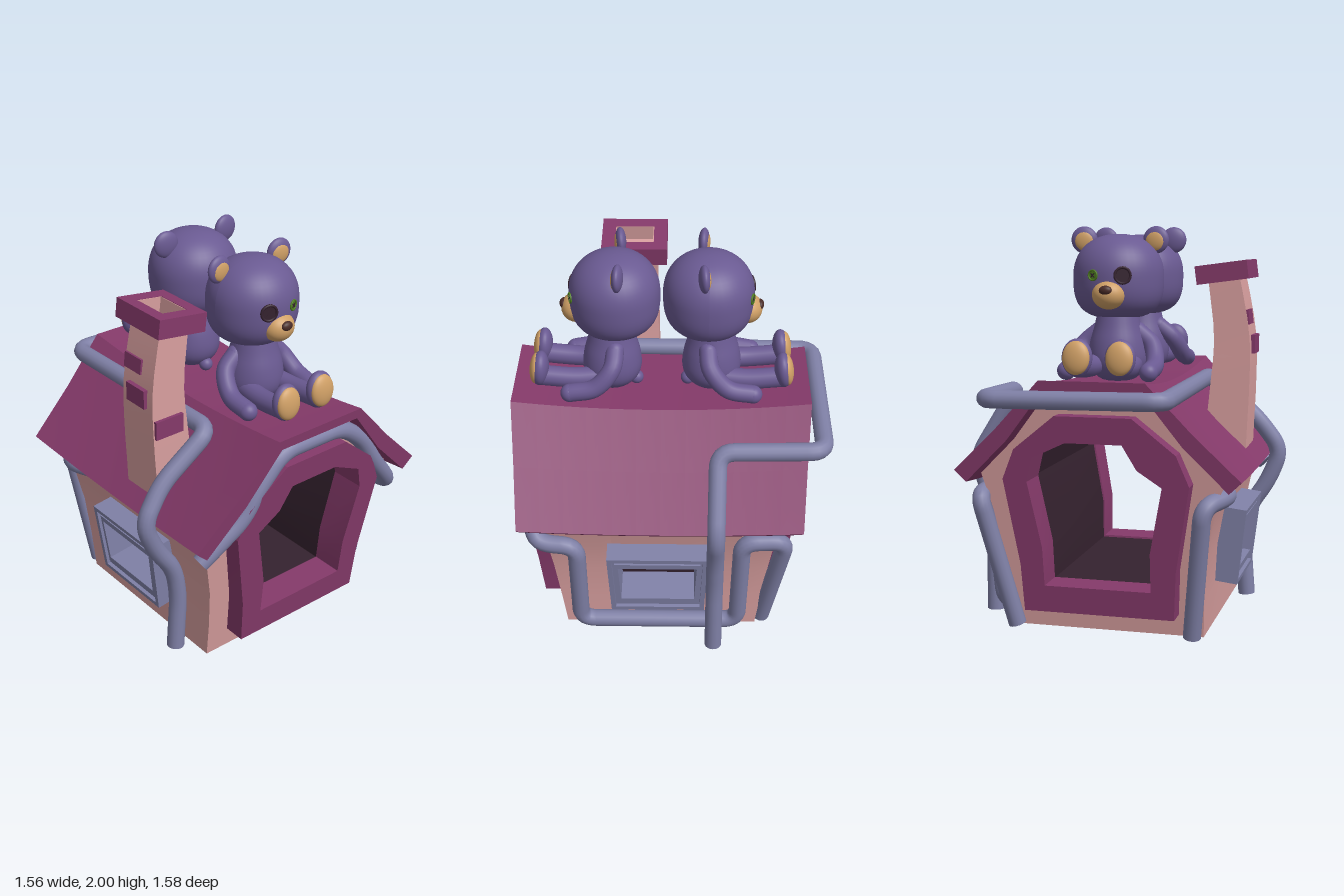
import * as THREE from 'three';
import { toCreasedNormals } from 'three/addons/utils/BufferGeometryUtils.js';

const mat = (color) => new THREE.MeshStandardMaterial({ color });
const plum = mat(0x853a6a), pink = mat(0xd79e9e), steel = mat(0x7f80a6), fur = mat(0x6a5a92);
const tan = mat(0xd0a066), dark = mat(0x35222f), green = mat(0x4f7f1f), brown = mat(0x4a2c28);
const MID = 0.05; // z of the house centre
const V = (a) => new THREE.Vector3(...a);

function add(parent, name, geo, material, pos = [0, 0, 0], rot = [0, 0, 0]) {
  const m = new THREE.Mesh(geo, material);
  m.name = name;
  m.position.set(...pos);
  m.rotation.set(...rot);
  parent.add(m);
  return m;
}

function warp(geo, rule, crease = 0.4) {
  const p = geo.attributes.position, v = new THREE.Vector3();
  for (let i = 0; i < p.count; i++) {
    rule(v.fromBufferAttribute(p, i));
    p.setXYZ(i, v.x, v.y, v.z);
  }
  geo.computeVertexNormals();
  return crease ? toCreasedNormals(geo, crease) : geo;
}

function polygon(points, hole) {
  const s = new THREE.Shape(points.map((p) => new THREE.Vector2(...p)));
  if (hole) s.holes.push(new THREE.Path(hole.map((p) => new THREE.Vector2(...p))));
  return s;
}
const mirrored = (half) => [...half, ...half.map(([x, y]) => [-x, y]).reverse()];

// Prism along z from t0 to t1 (-1 back, 1 front) whose depth grows with height and whose middle sags
function houseSlab(shape, depthAt, sag, steps, t0 = -1, t1 = 1) {
  const geo = new THREE.ExtrudeGeometry(shape, { depth: t1 - t0, steps, bevelEnabled: false });
  return warp(geo, (v) => {
    const t = v.z + t0, dip = (1 - t * t) * sag * v.y / 1.27;
    v.z = MID + t * depthAt(v.y);
    v.x *= 1 - dip * 0.7;
    v.y -= dip;
  });
}

// Pipe with straight runs, rounded corners and flat ends
function pipe(parent, name, pts, bend = 0.08, r = 0.045) {
  const P = pts.map(V), path = new THREE.CurvePath();
  let from = P[0];
  for (let i = 1; i < P.length - 1; i++) {
    const toward = (q) => P[i].clone().lerp(q, Math.min(0.45, bend / P[i].distanceTo(q)));
    const a = toward(P[i - 1]), b = toward(P[i + 1]);
    path.add(new THREE.LineCurve3(from, a));
    path.add(new THREE.QuadraticBezierCurve3(a, P[i], b));
    from = b;
  }
  path.add(new THREE.LineCurve3(from, P[P.length - 1]));
  add(parent, name, new THREE.TubeGeometry(path, 220, r, 14), steel);
  for (const [u, s] of [[0, -1], [1, 1]]) {
    const end = path.getPointAt(u), cap = add(parent, name + 'End', new THREE.CircleGeometry(r, 14), steel, end.toArray());
    cap.lookAt(end.clone().addScaledVector(path.getTangentAt(u), s));
  }
}

function ball(parent, name, material, pos, size, rot) {
  const m = add(parent, name, new THREE.SphereGeometry(1, 28, 20), material, pos, rot);
  m.scale.set(...size);
  return m;
}

function limb(parent, name, pts, r) {
  add(parent, name, new THREE.TubeGeometry(new THREE.CatmullRomCurve3(pts.map(V)), 20, r, 16), fur);
  for (const p of [pts[0], pts[pts.length - 1]]) ball(parent, name + 'Tip', fur, p, [r, r, r]);
}

// Seated bear facing +z; buttonSide is the x sign of the dark button eye
function bear(buttonSide) {
  const g = new THREE.Group();
  const head = warp(new THREE.SphereGeometry(1, 40, 30), (v) => {
    const r = Math.hypot(v.x, v.z), p = v.y < 0 ? 3 : 2.2;
    v.divideScalar((r ** p + Math.abs(v.y) ** p) ** (1 / p));
    v.set(v.x * 0.228, v.y * 0.21, v.z * 0.224);
  }, 0);
  add(g, 'head', head, fur, [0, 1.748, 0.23]);
  const torso = [[0.001, 1.225], [0.08, 1.235], [0.13, 1.28], [0.148, 1.34], [0.14, 1.42], [0.118, 1.5], [0.1, 1.58]];
  const spine = new THREE.SplineCurve(torso.map((p) => new THREE.Vector2(...p))).getPoints(24);
  add(g, 'torso', new THREE.LatheGeometry(spine, 32), fur, [0, 0, 0.25]);
  ball(g, 'tail', fur, [0, 1.25, 0.13], [0.035, 0.035, 0.035]);
  ball(g, 'muzzle', tan, [0, 1.663, 0.42], [0.083, 0.072, 0.075]);
  ball(g, 'nose', brown, [0, 1.685, 0.482], [0.033, 0.024, 0.02]);
  for (const s of [-1, 1]) {
    ball(g, 'ear', fur, [s * 0.185, 1.928, 0.205], [0.067, 0.068, 0.028], [0, -s * 0.1, -s * 0.5]);
    ball(g, 'innerEar', tan, [s * 0.183, 1.924, 0.218], [0.05, 0.051, 0.018], [0, -s * 0.1, -s * 0.5]);
    limb(g, 'arm', [[s * 0.1, 1.475, 0.23], [s * 0.175, 1.41, 0.245], [s * 0.21, 1.32, 0.33], [s * 0.208, 1.29, 0.455]], 0.046);
    limb(g, 'leg', [[s * 0.08, 1.32, 0.24], [s * 0.1, 1.31, 0.42], [s * 0.103, 1.325, 0.6]], 0.052);
    ball(g, 'foot', fur, [s * 0.107, 1.37, 0.607], [0.076, 0.092, 0.045], [-0.1, 0, 0]);
    ball(g, 'sole', tan, [s * 0.107, 1.37, 0.627], [0.068, 0.082, 0.032], [-0.1, 0, 0]);
    // Mismatched button eyes
    const button = s === buttonSide, r = button ? 0.044 : 0.028;
    const eye = new THREE.Group();
    eye.name = button ? 'buttonEye' : 'greenEye';
    eye.position.set(s * 0.072, 1.757, 0.433);
    eye.rotation.y = s * 0.33;
    add(eye, 'eyeDisc', new THREE.CylinderGeometry(r, r, 0.02, 20), button ? dark : green, [0, 0, 0], [Math.PI / 2, 0, 0]);
    add(eye, 'eyeRim', new THREE.TorusGeometry(r * 0.87, r * 0.15, 8, 20), button ? dark : green, [0, 0, 0.01]);
    for (const a of [-1, 1])
      add(eye, 'stitch', new THREE.BoxGeometry(r, 0.005, 0.005), dark, [0, 0, 0.011], [0, 0, a * Math.PI / 4]);
    g.add(eye);
  }
  return g;
}

// Stepped window frame, wider at the top, local +z pointing out of the wall
function sideWindow(side) {
  const g = new THREE.Group();
  const quad = (w, h) => [[-w * 0.47, -h / 2], [w * 0.47, -h / 2], [w / 2, h / 2], [-w / 2, h / 2]];
  const rings = [[0.51, 0.39, 0.1], [0.46, 0.345, 0.08], [0.435, 0.295, 0.09], [0.4, 0.235, 0]];
  for (let i = 0; i < 3; i++) {
    const [w, h, d] = rings[i], [iw, ih] = rings[i + 1];
    const geo = new THREE.ExtrudeGeometry(polygon(quad(w, h), quad(iw, ih)), { depth: d + 0.12, bevelEnabled: false });
    add(g, 'windowFrame', geo, steel, [0, 0, -0.12]);
  }
  add(g, 'windowPane', new THREE.ShapeGeometry(polygon(quad(0.42, 0.25))), dark, [0, 0, -0.09]);
  g.rotation.set(0.12, side * Math.PI / 2, 0, 'YXZ');
  g.position.set(side * 0.54, 0.405, 0.065);
  return g;
}

export function createModel() {
  const model = new THREE.Group();
  model.name = 'bearHouse';

  // Walls, notched in the middle for the windows
  const door = [[-0.265, 0.245], [0.27, 0.245], [0.275, 0.44], [0.34, 0.77], [0.31, 0.89], [0.14, 0.97],
    [-0.14, 0.97], [-0.21, 0.85], [-0.33, 0.77], [-0.265, 0.44]];
  const grown = (k) => door.map(([x, y]) => [x * k, 0.6 + (y - 0.6) * k]);
  const low = [[0.5, 0], [0.505, 0.2]], high = [[0.555, 0.6], [0.61, 0.79], [0.24, 1.215]];
  const solid = mirrored([...low, [0.52, 0.42], ...high]);
  const notched = mirrored([...low, [0.508, 0.26], [0.4, 0.26], [0.4, 0.55], [0.544, 0.55], ...high]);
  for (const [section, t0, t1] of [[solid, -1, -0.38], [notched, -0.38, 0.43], [solid, 0.43, 1]])
    add(model, 'walls', houseSlab(polygon(section, grown(1.16)), (y) => 0.5 + 0.125 * y, 0.05, 5, t0, t1), pink);

  // Dark interior, a door frame at each end, and the roof
  const frameDepth = (y) => 0.615 + 0.1 * y;
  add(model, 'interior', houseSlab(polygon(grown(1.18), grown(1.03)), frameDepth, 0, 1, -0.76, 0.76), dark);
  const frame = mirrored([[0.378, 0.11], [0.39, 0.35], [0.462, 0.78], [0.4, 0.93], [0.19, 1.1]]);
  add(model, 'frontDoorFrame', houseSlab(polygon(frame, door), frameDepth, 0, 1, 0.74, 1), plum);
  add(model, 'backDoorFrame', houseSlab(polygon(frame, door), frameDepth, 0, 1, -1, -0.74), plum);
  const roof = mirrored([[0.65, 0.757], [0.71, 0.815], [0.48, 1.035], [0.26, 1.27]]);
  const under = mirrored([[0.24, 1.22], [0.43, 0.975]]);
  const section = [...roof, ...under.slice(2), ...under.slice(0, 2)];
  add(model, 'roof', houseSlab(polygon(section), (y) => 0.7 + 0.095 * (y - 0.8), 0.05, 12), plum);

  for (const s of [-1, 1]) {
    const w = sideWindow(s);
    w.name = s > 0 ? 'leftWindow' : 'rightWindow';
    model.add(w);
  }

  // Pipes
  pipe(model, 'roofPipe', [[-0.578, 0, 0.39], [-0.555, 0.3, 0.39], [-0.58, 0.48, 0.39], [-0.69, 0.64, 0.39],
    [-0.755, 0.81, 0.39], [-0.63, 0.98, 0.37], [-0.36, 1.2, 0.4], [-0.36, 1.19, -0.745], [0.525, 1.18, -0.745],
    [0.525, 1.17, -0.23], [0.75, 0.81, -0.225], [0.69, 0.62, -0.225], [0.66, 0.4, -0.225], [0.66, 0, -0.225]]);
  pipe(model, 'doorPipe', [[-0.63, 0.69, 0.67], [-0.41, 0.87, 0.715], [-0.33, 1.0, 0.72], [-0.18, 1.16, 0.725],
    [0.19, 1.16, 0.725], [0.34, 1.05, 0.72], [0.46, 0.86, 0.715], [0.58, 0.72, 0.69], [0.62, 0.66, 0.655],
    [0.63, 0.65, 0.47], [0.565, 0.085, 0.47], [0.565, 0.085, -0.35], [0.625, 0.68, -0.36], [0.61, 0.68, -0.58], [0.45, 0.01, -0.485]]);
  pipe(model, 'cornerPipe', [[-0.45, 0.01, -0.495], [-0.52, 0.68, -0.61], [-0.62, 0.71, -0.45], [-0.57, 0.71, -0.33]]);

  // Crooked chimney
  const chimney = new THREE.Group();
  chimney.name = 'chimney';
  const bow = new THREE.SplineCurve([[-0.5, 0.85], [-0.525, 1.2], [-0.53, 1.45], [-0.487, 1.73]].map((p) => new THREE.Vector2(...p)));
  const shaft = warp(new THREE.BoxGeometry(1, 1, 1, 1, 8, 1).toNonIndexed(), (v) => {
    const t = v.y + 0.5, c = bow.getPoint(t);
    v.set(c.x + v.x * (0.225 - 0.065 * t), c.y - v.x * 0.03 * t, 0.195 + v.z * (0.25 - 0.03 * t));
  }, 0.3);
  add(chimney, 'chimneyShaft', shaft, pink);
  const rect = (w, h) => [[-w, -h], [w, -h], [w, h], [-w, h]];
  const collar = (name, outer, inner, depth, material) => {
    const geo = new THREE.ExtrudeGeometry(polygon(outer, inner), { depth, bevelEnabled: false });
    geo.translate(0, 0, -depth / 2).rotateX(-Math.PI / 2);
    add(chimney, name, geo, material, [-0.483, 1.765, 0.198], [0, 0, -0.13]);
  };
  collar('chimneyCap', rect(0.135, 0.168), rect(0.07, 0.099), 0.095, plum);
  collar('chimneyFlue', rect(0.072, 0.101), rect(0.066, 0.095), 0.09, pink);
  add(chimney, 'brick', new THREE.BoxGeometry(0.16, 0.095, 0.06), plum, [-0.54, 1.245, 0.3]);
  add(chimney, 'brick', new THREE.BoxGeometry(0.05, 0.095, 0.14), plum, [-0.62, 1.395, 0.2]);
  add(chimney, 'brick', new THREE.BoxGeometry(0.05, 0.075, 0.13), plum, [-0.594, 1.535, 0.15], [0, 0, -0.12]);
  model.add(chimney);

  // Two bears sitting back to back on the ridge
  for (const s of [1, -1]) {
    const b = bear(-s);
    b.name = s > 0 ? 'frontBear' : 'backBear';
    b.position.z = MID;
    b.rotation.y = s > 0 ? 0 : Math.PI;
    model.add(b);
  }
  return model;
}
